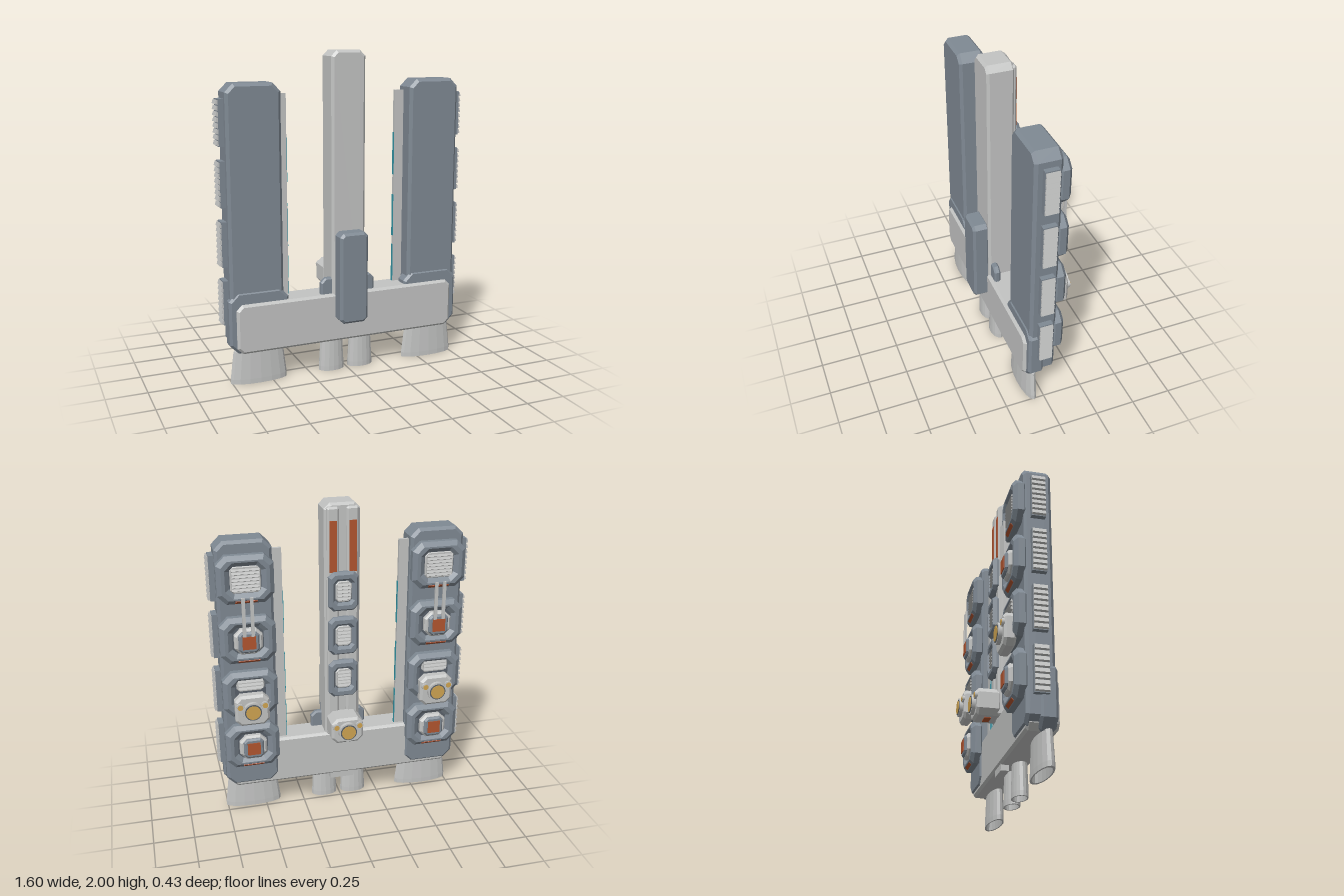
import * as THREE from 'three';

const mat = (name, color, side = THREE.FrontSide) => {
  const m = new THREE.MeshStandardMaterial({ color, side });
  m.name = name;
  return m;
};

export function createModel() {
  const light = mat('light grey', 0xc3c4c3);
  const dark = mat('slate grey', 0x7f8993);
  const shade = mat('recess grey', 0x59616a);
  const orange = mat('orange', 0xb2552f);
  const gold = mat('gold', 0xcfa452);
  const teal = mat('teal', 0x3495a5);

  const model = new THREE.Group();
  model.name = 'tripleTowerStation';

  const group = (name, parent) => {
    const g = new THREE.Group();
    g.name = name;
    parent.add(g);
    return g;
  };
  const add = (parent, name, geo, material, x, y, z) => {
    const m = new THREE.Mesh(geo, material);
    m.name = name;
    m.position.set(x, y, z);
    parent.add(m);
    return m;
  };
  const box = (p, name, m, w, h, d, x, y, z) =>
    add(p, name, new THREE.BoxGeometry(w, h, d), m, x, y, z);

  // Rectangle with cut corners
  const octagon = (w, h, c, Type = THREE.Shape) => {
    const a = w / 2, b = h / 2;
    return new Type([
      [-a + c, -b], [a - c, -b], [a, -b + c], [a, b - c],
      [a - c, b], [-a + c, b], [-a, b - c], [-a, -b + c],
    ].map(([x, y]) => new THREE.Vector2(x, y)));
  };
  // Bevelled plate between two z values, c = corner cut, b = bevel, hole = [w, h, c]
  const plate = (p, name, m, w, h, z0, z1, x, y, { c = 0.03, b = 0.015, t = b, hole } = {}) => {
    const shape = octagon(w, h, c);
    if (hole) shape.holes.push(octagon(...hole, THREE.Path));
    const depth = Math.abs(z1 - z0) - 2 * t;
    const geo = new THREE.ExtrudeGeometry(shape, {
      depth, bevelEnabled: true, bevelSegments: 1, bevelSize: b, bevelThickness: t, bevelOffset: -b,
    });
    geo.translate(0, 0, -depth / 2);
    return add(p, name, geo, m, x, y, (z0 + z1) / 2);
  };
  const disc = (p, name, m, r, d, x, y, z, n = 20) => {
    const geo = new THREE.CylinderGeometry(r, r, d, n);
    geo.rotateX(Math.PI / 2);
    return add(p, name, geo, m, x, y, z);
  };

  // Hollow oval nozzle standing on the ground
  const nozzle = (p, x, rx, rz) => {
    const pts = [[0, 0.15], [0.7, 0.15], [0.84, 0], [1, 0], [1, 0.03], [0.88, 0.205], [0, 0.205]];
    const geo = new THREE.LatheGeometry(pts.map(q => new THREE.Vector2(...q)), 16)
      .scale(rx, 1, rz).toNonIndexed();
    geo.computeVertexNormals();
    add(p, 'nozzle', geo, light, x, 0, 0.067);
  };

  // Sensor block with one large and two small lenses, facing the back
  const sensor = (p, x, y, w, h, z0, z1) => {
    const g = group('sensor', p);
    plate(g, 'sensorHousing', light, w, h, z0, z1, x, y, { c: 0.035, b: 0.015 });
    disc(g, 'lensRing', light, 0.062, 0.03, x, y, z1 - 0.008);
    disc(g, 'lensGroove', shade, 0.052, 0.004, x, y, z1 - 0.024);
    disc(g, 'lens', gold, 0.045, 0.006, x, y, z1 - 0.026);
    for (const s of [-1, 1]) {
      disc(g, 'smallLensRing', light, 0.024, 0.016, x + s * w * 0.36, y + 0.035, z1 - 0.004, 12);
      disc(g, 'smallLens', gold, 0.017, 0.006, x + s * w * 0.36, y + 0.035, z1 - 0.012, 12);
    }
  };

  // Dark frame with a sunken floor
  const pod = (p, x, y, w, h, z0, z1) => {
    const g = group('pod', p);
    plate(g, 'podFrame', dark, w, h, z0, z1, x, y,
      { c: w * 0.16, b: w * 0.08, t: 0.022, hole: [w * 0.56, h * 0.56, w * 0.09] });
    plate(g, 'podFloor', shade, w * 0.64, h * 0.64, z0, z1 + 0.022, x, y, { c: 0.02, b: 0.004 });
    return g;
  };
  const grille = (p, n, w, h, x, y, z) => {
    plate(p, 'grilleBack', light, w + 0.02, h + 0.02, z + 0.02, z + 0.004, x, y, { c: 0.02, b: 0.004 });
    for (let i = 0; i < n; i++) {
      const slat = box(p, 'grilleSlat', light, w, h / n * 0.65, 0.014, x, y - h / 2 + (i + 0.5) * h / n, z);
      slat.rotation.x = 0.4;
    }
  };

  // Side towers
  for (const s of [-1, 1]) {
    const g = group(s > 0 ? 'leftTower' : 'rightTower', model);
    const x = s * 0.588;
    plate(g, 'towerBody', dark, 0.335, 1.6, 0.105, -0.06, x, 1.02, { c: 0.05, b: 0.018 });
    plate(g, 'towerBoot', dark, 0.375, 0.385, 0.112, 0.015, s * 0.58, 0.393, { c: 0.055, b: 0.015 });
    nozzle(g, s * 0.58, 0.18, 0.048);

    // Inner fin with teal strips
    box(g, 'innerFin', light, 0.07, 1.5, 0.022, s * 0.395, 1.0, -0.004);
    for (const y of [0.62, 0.95, 1.35])
      box(g, 'finStrip', teal, 0.006, 0.27, 0.016, s * 0.359, y, -0.004);

    // Outer louvred vents
    for (let i = 0; i < 4; i++) {
      const y = 0.515 + i * 0.36;
      box(g, 'sideVent', dark, 0.045, 0.275, 0.084, s * 0.765, y, 0.019);
      for (let k = 0; k < 8; k++) {
        const slat = box(g, 'sideSlat', light, 0.018, 0.026, 0.08, s * 0.79, y - 0.118 + k * 0.0337, 0.019);
        slat.rotation.z = s * 0.3;
      }
    }

    // Back modules, bottom to top
    const pods = [0.515, 0.875, 1.225, 1.6].map(y => pod(g, x, y, 0.335, 0.29, -0.035, -0.117));
    [0, 2, 3].forEach(i => box(pods[i], 'podAccent', orange, 0.13, 0.022, 0.008,
      x, [0.515, 0, 1.225, 1.6][i] - 0.131, -0.105).rotation.x = -0.8);
    grille(pods[3], 7, 0.16, 0.14, x, 1.6, -0.106);
    for (const [i, y] of [[0, 0.515], [2, 1.225]]) {
      plate(pods[i], 'hatch', light, 0.17, 0.16, -0.08, -0.13, x, y, { c: 0.04, b: 0.012 });
      plate(pods[i], 'hatchCover', dark, 0.125, 0.13, -0.12, -0.145, x, y, { c: 0.02, b: 0.01 });
      box(pods[i], 'hatchPanel', orange, 0.08, 0.08, 0.006, x, y, -0.147);
    }
    for (const k of [-1, 1])
      box(pods[2], 'rod', light, 0.02, 0.24, 0.012, x + k * 0.025, 1.385, -0.145);
    grille(pods[1], 3, 0.15, 0.07, x, 0.94, -0.11);
    sensor(pods[1], x, 0.785, 0.21, 0.2, -0.09, -0.16);
  }

  // Central tower with two back rails
  const centre = group('centralTower', model);
  plate(centre, 'centralBody', light, 0.22, 1.78, 0.122, -0.045, 0, 1.11, { c: 0.035, b: 0.015 });
  for (const s of [-1, 1]) {
    plate(centre, 'backRail', light, 0.075, 1.48, -0.02, -0.062, s * 0.06, 1.24, { c: 0.01, b: 0.012 });
    box(centre, 'railStripe', orange, 0.045, 0.31, 0.008, s * 0.06, 1.745, -0.062);
  }
  for (const y of [0.9, 1.185, 1.47]) {
    const p = pod(centre, 0, y, 0.185, 0.245, -0.03, -0.092);
    grille(p, 5, 0.08, 0.11, 0, y, -0.082);
  }
  sensor(centre, 0, 0.585, 0.205, 0.17, -0.04, -0.188);
  box(centre, 'sensorAccent', orange, 0.08, 0.006, 0.04, 0, 0.499, -0.11);

  // Base crossbar with its front plate, brackets and centre nozzles
  const base = group('base', model);
  plate(base, 'crossbar', light, 1.45, 0.31, 0.13, -0.05, 0, 0.355, { c: 0.035, b: 0.015 });
  plate(base, 'frontPlate', dark, 0.185, 0.575, 0.216, 0.11, 0, 0.622, { c: 0.025, b: 0.015 });
  plate(base, 'rearBracket', dark, 0.36, 0.2, 0.108, 0.068, 0, 0.512, { c: 0.03, b: 0.01 });
  box(base, 'bottomBlock', light, 0.16, 0.06, 0.05, 0, 0.195, -0.015);
  for (const s of [-1, 1]) nozzle(base, s * 0.098, 0.084, 0.048);

  return model;
}
